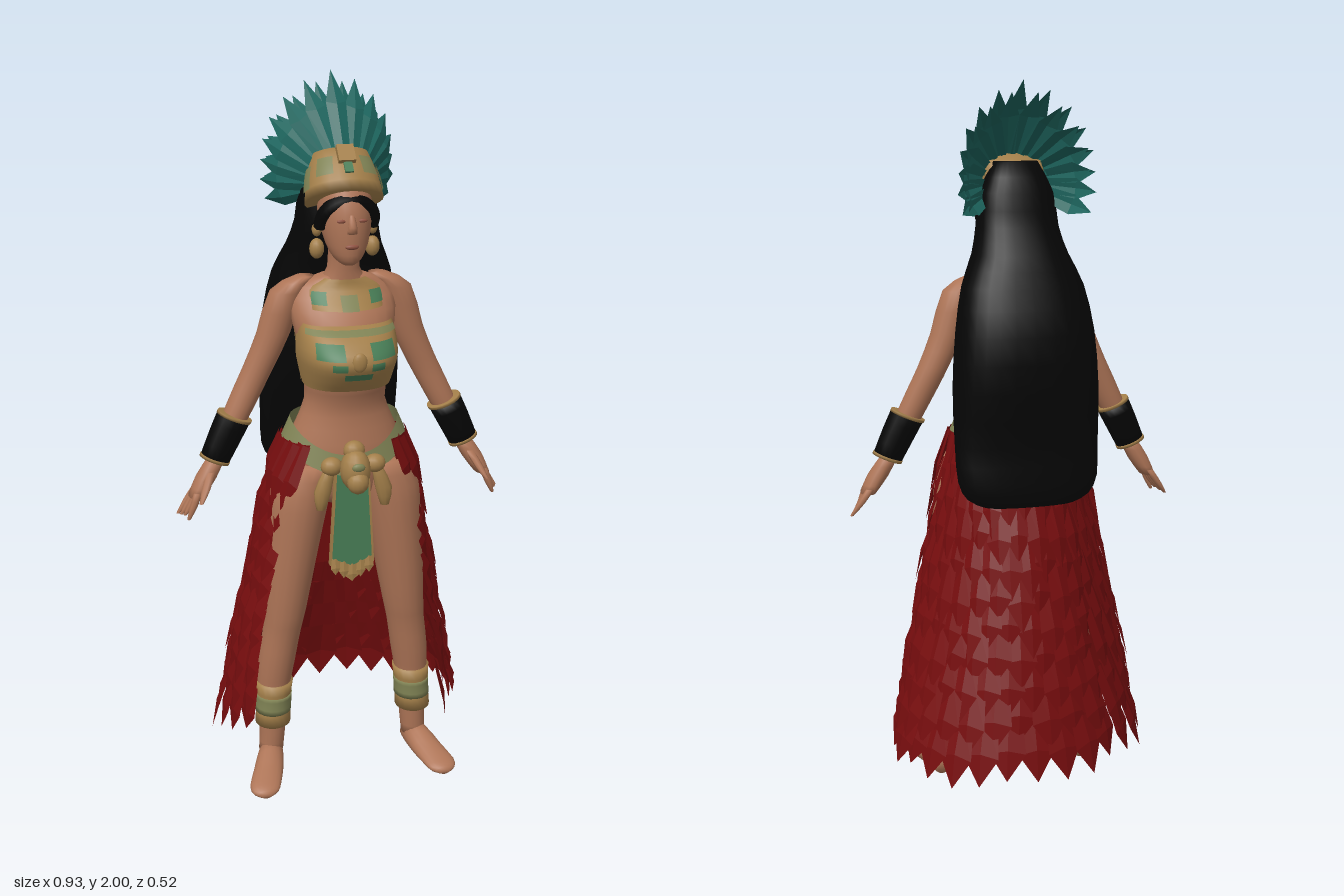
import * as THREE from 'three';
import { mergeVertices, mergeGeometries } from 'three/addons/utils/BufferGeometryUtils.js';

const V = (x, y, z) => new THREE.Vector3(x, y, z);
const mat = (name, color, double) => {
  const m = new THREE.MeshStandardMaterial({ color });
  m.name = name;
  if (double) m.side = THREE.DoubleSide;
  return m;
};

// Smooth surface from a rule fn(u, v) -> Vector3, v running downwards
function surf(fn, nu, nv) {
  const pos = [], idx = [], w = nu + 1;
  for (let j = 0; j <= nv; j++) for (let i = 0; i <= nu; i++) pos.push(...fn(i / nu, j / nv).toArray());
  for (let j = 0; j < nv; j++) for (let i = 0; i < nu; i++) {
    const a = j * w + i, b = a + w;
    idx.push(a, b, b + 1, a, b + 1, a + 1);
  }
  const g = new THREE.BufferGeometry();
  g.setAttribute('position', new THREE.Float32BufferAttribute(pos, 3));
  g.setIndex(idx);
  const m = mergeVertices(g, 1e-5);
  m.computeVertexNormals();
  return m;
}

const spow = (s, p) => Math.sign(s) * Math.abs(s) ** p;

// Loft through elliptical sections [x, y, z, rx, rz] from top to bottom; a0..a1 and v0..v1 cut a patch, slant tips the rings
function loft(rows, { a0 = 0, a1 = Math.PI * 2, v0 = 0, v1 = 1, p = 1, off = 0, cap = true, n = 18, slant = 0 } = {}) {
  const c = new THREE.CatmullRomCurve3(rows.map(r => V(r[0], r[1], r[2])), false, 'catmullrom');
  const r = new THREE.CatmullRomCurve3(rows.map(s => V(s[3] + off, s[4] + off, 0)), false, 'catmullrom');
  const steps = (rows.length - 1) * 2;
  return surf((u, v) => {
    const k = Math.round(v * (steps + 2)) - 1;
    const t = v0 + (v1 - v0) * (cap ? Math.min(1, Math.max(0, k / steps)) : v);
    const q = c.getPoint(t), e = r.getPoint(t), a = a0 + (a1 - a0) * u;
    const s = cap && (k < 0 || k > steps) ? 0 : 1;
    const dx = s * e.x * spow(Math.sin(a), p);
    return V(q.x + dx, q.y + slant * dx, q.z + s * e.y * spow(Math.cos(a), p));
  }, n, steps + 2);
}

// Pointed feather with a raised spine, appended to a triangle list
function leaf(out, root, tip, nrm, w, lift) {
  const side = tip.clone().sub(root).cross(nrm).normalize().multiplyScalar(w / 2);
  const at = (t, s, l) => root.clone().lerp(tip, t).addScaledVector(side, s).addScaledVector(nrm, l);
  const r1 = at(0, 0.7, 0), r2 = at(0, -0.7, 0), m1 = at(0.6, 1, lift * 0.4), m2 = at(0.6, -1, lift * 0.4);
  const s0 = at(0, 0, lift * 0.5), sm = at(0.55, 0, lift);
  for (const q of [r1, m1, sm, r1, sm, s0, s0, sm, m2, s0, m2, r2, m1, tip, sm, sm, tip, m2]) out.push(q.x, q.y, q.z);
}
function leavesGeometry(out) {
  const g = new THREE.BufferGeometry();
  g.setAttribute('position', new THREE.Float32BufferAttribute(out, 3));
  g.computeVertexNormals();
  return g;
}
const noise = i => { const s = Math.sin(i * 127.1 + 3.7) * 43758.5; return s - Math.floor(s); };

function plate(points, depth) {
  return new THREE.ExtrudeGeometry(new THREE.Shape(points.map(q => new THREE.Vector2(...q))), { depth, bevelEnabled: false });
}
function ball(x, y, z, rx, ry, rz) {
  return new THREE.SphereGeometry(1, 14, 10).scale(rx, ry, rz).translate(x, y, z);
}

export function createModel() {
  const model = new THREE.Group();
  const skin = mat('skin', 0xae7557), gold = mat('gold', 0xa37f4a, true), green = mat('jade green', 0x487d56, true);
  const teal = mat('teal feather', 0x1d645d, true), red = mat('red feather', 0x760d0e, true);
  const black = mat('black', 0x050505), lip = mat('lip', 0x8f5140), olive = mat('olive', 0x7f8254, true);
  const add = (name, geo, m, parent = model) => {
    const o = new THREE.Mesh(geo, m);
    o.name = name;
    parent.add(o);
    return o;
  };

  // Body
  add('torso', loft([[0, 1.49, .05, .06, .045], [0, 1.46, .04, .125, .055], [0, 1.4, .055, .145, .085], [0, 1.32, .075, .13, .1],
    [0, 1.22, .085, .117, .1], [0, 1.15, .075, .112, .083], [0, 1.08, .07, .138, .09], [0, 1, .06, .168, .11],
    [0, .92, .06, .15, .1], [0, .86, .07, .08, .07]], { n: 24 }), skin);
  add('neck', loft([[0, 1.6, .07, .044, .045], [0, 1.51, .06, .043, .043], [0, 1.46, .05, .075, .05]]), skin);

  // Head and face
  add('head', loft([[0, 1.77, .05, .035, .04], [0, 1.74, .06, .062, .07], [0, 1.69, .07, .07, .085], [0, 1.64, .08, .069, .084],
    [0, 1.58, .097, .055, .065], [0, 1.545, .11, .036, .046], [0, 1.53, .12, .016, .02]], { n: 24 }), skin);
  add('nose', loft([[0, 1.665, .156, .007, .006], [0, 1.635, .163, .012, .013], [0, 1.617, .158, .014, .011]], { n: 10 }), skin);
  add('lips', ball(0, 1.583, .16, .018, .007, .006), lip);
  for (const s of [-1, 1]) {
    add('eye', ball(s * .028, 1.65, .158, .012, .005, .004), lip);
    add('earring', ball(s * .075, 1.565, .075, .02, .027, .02), gold);
    add('earStud', ball(s * .075, 1.615, .075, .013, .018, .016), gold);
  }

  // Long hair
  add('hair', loft([[0, 1.79, -.005, .06, .045], [0, 1.71, -.015, .1, .07], [0, 1.62, -.025, .112, .082], [0, 1.55, -.055, .13, .098],
    [0, 1.47, -.085, .165, .102], [0, 1.35, -.11, .188, .118], [0, 1.2, -.12, .2, .11], [0, 1.05, -.13, .2, .075],
    [0, .95, -.145, .195, .065], [0, .9, -.15, .17, .055], [0, .88, -.155, .13, .04]], { p: .85, n: 28 }), black);
  const fringe = add('hairline', new THREE.TorusGeometry(.068, .02, 8, 20, Math.PI + .3).rotateZ(-.15), black);
  fringe.position.set(0, 1.638, .1);
  fringe.rotation.x = .5;

  // Headband with painted patches and a front crest
  const crown = new THREE.Group();
  crown.name = 'headband';
  crown.position.set(0, 1.685, .07);
  crown.rotation.x = -.5;
  model.add(crown);
  const band = [[0, .125, 0, .076, .06], [0, .06, 0, .096, .083], [0, 0, 0, .104, .092]];
  add('band', loft(band, { n: 24 }), gold, crown);
  for (const s of [-1, 1]) {
    add('bandPatch', loft(band, { a0: s * .65 - .25, a1: s * .65 + .25, v0: .2, v1: .6, off: .004, cap: false, n: 6 }), olive, crown);
    add('sidePatch', loft(band, { a0: s * 1.35 - .2, a1: s * 1.35 + .2, v0: .3, v1: .8, off: .004, cap: false, n: 6 }), olive, crown);
  }
  add('crest', new THREE.BoxGeometry(.045, .05, .02).rotateX(-.3).translate(0, .1, .072), gold, crown);
  add('crestInlay', new THREE.BoxGeometry(.022, .03, .006).rotateX(-.3).translate(0, .06, .089), green, crown);

  // Feather fan in two overlapping layers
  const fan = [];
  for (const [count, scale, back] of [[15, 1, 0], [14, .92, .035]]) for (let i = 0; i < count; i++) {
    const a = (i / (count - 1) * 2 - 1) * 2.0, k = Math.abs(a) / 2;
    const R = (.26 - .075 * Math.min(1, k * 1.5) + .02 * Math.max(0, k - .7)) * scale;
    const root = V(.085 * Math.sin(a), 1.735 + .07 * Math.cos(a), .06 - .05 * k - back);
    const tip = V(R * Math.sin(a), 1.74 + R * Math.cos(a), -.092 - .045 * Math.sin(k * Math.PI * .6) - back * .3);
    const dir = tip.clone().sub(root).normalize();
    const nrm = V(Math.sin(a) * .6, Math.cos(a) * .6, .8);
    nrm.addScaledVector(dir, -nrm.dot(dir)).normalize();
    leaf(fan, root, tip, nrm, .054, .016);
  }
  add('headdressFeathers', leavesGeometry(fan), teal);

  // Collar
  const collar = [[0, 1.485, .058, .06, .05], [0, 1.455, .05, .108, .064], [0, 1.41, .066, .112, .088]];
  add('collar', loft(collar, { cap: false, n: 24 }), gold);
  for (const a of [-.75, .75])
    add('collarInlay', loft(collar, { a0: a - .22, a1: a + .22, v0: .5, v1: .85, off: .004, cap: false, n: 6 }), green);
  add('collarPendant', loft(collar, { a0: -.2, a1: .2, v0: .6, v1: 1, off: .004, cap: false, n: 6 }), olive);

  // Bodice with inlays following its curve
  const cup = [[0, 1.375, .075, .126, .09], [0, 1.345, .08, .132, .132], [0, 1.295, .08, .136, .175], [0, 1.245, .08, .128, .15], [0, 1.205, .085, .119, .112]];
  const q = Math.PI / 2;
  add('bodiceFront', loft(cup, { a0: -q, a1: q, p: .85, cap: false, n: 24 }), gold);
  add('bodiceBack', loft([[0, 1.36, .07, .138, .095], [0, 1.28, .08, .13, .106], [0, 1.205, .085, .121, .103]], { a0: q, a1: 3 * q, cap: false }), gold);
  const inlay = (a0, a1, v0, v1, m = green) => add('bodiceInlay', loft(cup, { a0, a1, v0, v1, p: .85, off: .004, cap: false, n: 8 }), m);
  inlay(-1.1, 1.1, .06, .18, olive);
  inlay(-.22, .22, .64, .74);
  for (const s of [-1, 1]) {
    inlay(s * .5 - .3, s * .5 + .3, .27, .46);
    inlay(s * .32 - .14, s * .32 + .14, .5, .6);
  }
  add('bodiceBoss', ball(0, 1.3, .25, .02, .026, .01), gold);

  // Arms, bracers and hands
  for (const s of [-1, 1]) {
    const side = s < 0 ? 'right' : 'left';
    const limb = (name, rows, m, opt) => add(side + name, loft(rows.map(r => [r[0] * s, ...r.slice(1)]), opt), m);
    const cuff = { slant: s * .42 };
    limb('Arm', [[.1, 1.485, .035, .025, .025], [.148, 1.445, .03, .046, .045], [.185, 1.33, .025, .046, .042], [.225, 1.24, .022, .043, .039],
      [.255, 1.18, .024, .042, .036], [.3, 1.09, .03, .038, .034], [.35, .985, .036, .029, .022]], skin);
    limb('Bracer', [[.3, 1.1, .033, .044, .04], [.325, 1.05, .035, .042, .038], [.356, .985, .037, .038, .033]], black, cuff);
    limb('BracerTopRim', [[.296, 1.106, .033, .046, .042], [.3, 1.098, .033, .046, .042]], gold, cuff);
    limb('BracerLowerRim', [[.354, .989, .037, .04, .035], [.358, .981, .037, .04, .035]], gold, cuff);
    limb('Palm', [[.35, .99, .035, .026, .02], [.383, .935, .042, .03, .032], [.412, .885, .046, .022, .036]], skin, { n: 12 });
    for (let i = 0; i < 4; i++)
      limb('Finger', [[.41, .9, .018 + i * .018, .012, .012], [.436 - i * .004, .862, .018 + i * .019, .011, .011], [.462 - i * .008, .826 + (i % 3) * .004, .024 + i * .017, .005, .006]], skin, { n: 8 });
    limb('Thumb', [[.37, .955, .055, .013, .014], [.39, .915, .088, .012, .012], [.406, .885, .112, .006, .006]], skin, { n: 8 });

    // Legs, ankle cuffs and feet
    limb('Leg', [[.1, .98, .07, .08, .095], [.125, .9, .075, .088, .1], [.14, .8, .08, .08, .092], [.16, .65, .08, .07, .08], [.175, .52, .08, .06, .065],
      [.185, .45, .075, .055, .057], [.2, .35, .065, .054, .057], [.21, .25, .06, .047, .047], [.215, .12, .06, .038, .04], [.22, .05, .06, .036, .036]], skin);
    limb('AnkleCuff', [[.207, .285, .063, .055, .057], [.211, .22, .063, .05, .052], [.214, .15, .066, .052, .053]], gold);
    limb('CuffInlay', [[.209, .245, .063, .053, .055], [.21, .22, .063, .052, .054], [.212, .19, .064, .053, .054]], olive);
    const foot = [[.267, .243, -.01, .014, .008], [.266, .23, -.014, .036, .014], [.262, .2, -.02, .046, .02], [.242, .14, -.031, .044, .031], [.225, .08, -.042, .038, .042], [.215, .03, -.03, .026, .03]];
    limb('Foot', foot, skin).geometry.rotateX(Math.PI / 2);
  }

  // Open-fronted skirt: u runs round the body, t runs down
  const skirt = (u, t, off = 0) => {
    const open = .62 + .28 * Math.sin(Math.PI * Math.min(1, t)) + .12 * t, a = open + (Math.PI * 2 - 2 * open) * u;
    const k = t ** .85, c = Math.cos(a), p = c > 0 ? .78 : 1;
    return V((.172 + .18 * t + off) * spow(Math.sin(a), p), 1.045 - .93 * t, .05 - .09 * k + (.122 + .068 * k + off) * spow(c, p));
  };
  add('skirtLining', surf((u, t) => skirt(u, t * .55), 40, 10), red);
  const scales = [], rows = 10;
  for (let r = 0; r < rows; r++) {
    const count = 20 + (r % 2), t = r / rows * .9;
    for (let i = 0; i < count; i++) {
      const u = (i + .5) / count, h = noise(r * 40 + i), back = Math.sin(u * Math.PI) ** 2;
      const root = skirt(u, t, 0), tip = skirt(u + (h - .5) * .012, t + .145 + .06 * h + .045 * back * t, .016 + .014 * h);
      const nrm = V(root.x, .03, root.z - .02).normalize();
      leaf(scales, root, tip, nrm, (.9 + .95 * t) * 1.3 / count, .013);
    }
  }
  add('skirtFeathers', leavesGeometry(scales), red);

  // Belt dipping at the front
  add('belt', surf((u, v) => {
    const a = u * Math.PI * 2, dip = .085 * Math.max(0, Math.cos(a)) ** 1.3, r = .012 * v;
    return V((.15 + r * 2) * Math.sin(a), 1.1 - dip - .055 * v, .065 + (.108 + r) * Math.cos(a));
  }, 36, 3), olive);
  add('buckle', mergeGeometries([ball(0, .985, .205, .042, .058, .045), ball(0, .96, .236, .03, .032, .026), ball(0, 1.035, .19, .03, .028, .025)]), gold);
  add('buckleInlay', ball(0, 1.005, .243, .018, .012, .008), olive);

  // Hanging knots beside the buckle
  for (const s of [-1, 1]) {
    add('knot', ball(s * .06, .99, .18, .03, .026, .025), gold);
    add('tassel', loft([[s * .065, .985, .18, .014, .012], [s * .085, .92, .182, .024, .016], [s * .09, .865, .178, .012, .01]], { n: 10 }), gold);
  }

  // Loincloth: gold cloth, green panel and fringe
  const cloth = (w, top, low, point) => [[-w * .75, top], [-w, low], [0, point], [w, low], [w * .75, top]];
  add('loinclothBorder', plate(cloth(.064, .98, .69, .635), .012).translate(0, 0, .158), gold);
  add('loinclothPanel', plate(cloth(.056, .96, .71, .685), .006).translate(0, 0, .168), green);
  const fringeLeaves = [];
  for (let i = -2; i <= 2; i++) leaf(fringeLeaves, V(i * .024, .71 - .01 * (2 - Math.abs(i)), .172), V(i * .024, .66 - .012 * (2 - Math.abs(i)), .176), V(0, 0, 1), .027, .005);
  add('loinclothFringe', leavesGeometry(fringeLeaves), gold);
  return model;
}
